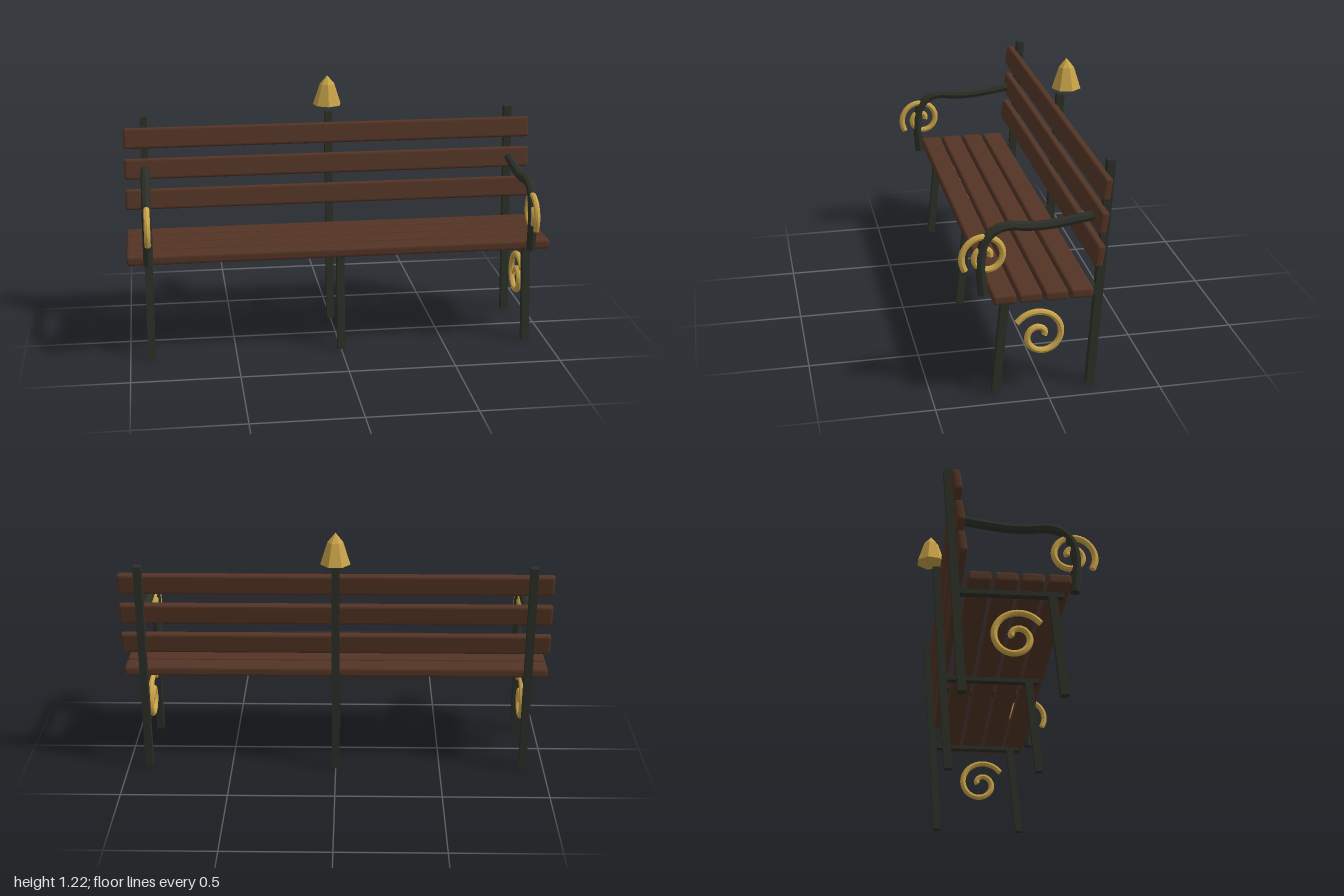
import * as THREE from 'three';
import { RoundedBoxGeometry } from 'three/addons/geometries/RoundedBoxGeometry.js';

const wood = new THREE.MeshStandardMaterial({ color: 0x533425, flatShading: true });
wood.name = 'brownWood';
const iron = new THREE.MeshStandardMaterial({ color: 0x2c2f27, flatShading: true });
iron.name = 'darkIron';
const gold = new THREE.MeshStandardMaterial({ color: 0xc9a348, flatShading: true });
gold.name = 'brass';

function add(parent, geometry, material, name) {
  const mesh = new THREE.Mesh(geometry, material);
  mesh.name = name;
  parent.add(mesh);
  return mesh;
}

// Square iron bar between two [z, y] points in the plane of a frame
function bar(parent, name, [z0, y0], [z1, y1], size = 0.036) {
  const length = Math.hypot(z1 - z0, y1 - y0);
  const mesh = add(parent, new THREE.BoxGeometry(size, length, size), iron, name);
  mesh.position.set(0, (y0 + y1) / 2, (z0 + z1) / 2);
  mesh.rotation.x = Math.atan2(z1 - z0, y1 - y0);
}

// Bent rod through [z, y] points, closed at both ends
function rod(parent, name, points, radius, material, segments) {
  const group = new THREE.Group();
  group.name = name;
  parent.add(group);
  const curve = new THREE.CatmullRomCurve3(points.map(([z, y]) => new THREE.Vector3(0, y, z)));
  add(group, new THREE.TubeGeometry(curve, segments, radius, 8), material, name + 'Rod');
  for (const t of [0, 1]) {
    const cap = add(group, new THREE.CircleGeometry(radius, 8), material, name + 'End');
    cap.position.copy(curve.getPoint(t));
    const out = curve.getTangent(t).multiplyScalar(t ? 1 : -1);
    cap.quaternion.setFromUnitVectors(new THREE.Vector3(0, 0, 1), out);
  }
}

// Spiral scroll winding inwards; angles in degrees, measured from the back
function scroll(parent, name, z, y, startAngle, outer, inner) {
  const points = [];
  const steps = 32;
  for (let i = 0; i <= steps; i++) {
    const t = i / steps;
    const a = THREE.MathUtils.degToRad(startAngle + (-360 - startAngle) * t);
    const r = outer + (inner - outer) * t;
    points.push([z - r * Math.cos(a), y + r * Math.sin(a)]);
  }
  rod(parent, name, points, 0.0145, gold, 56);
}

function slat(parent, name, height, depth, y, z, tilt = 0) {
  const mesh = add(parent, new RoundedBoxGeometry(2, height, depth, 2, 0.012), wood, name);
  mesh.position.set(0, y, z);
  mesh.rotation.x = tilt;
}

export function createModel() {
  const bench = new THREE.Group();
  bench.name = 'bench';

  // Three iron frames
  for (const [x, name] of [[0.9, 'leftFrame'], [0, 'middleFrame'], [-0.9, 'rightFrame']]) {
    const frame = new THREE.Group();
    frame.name = name;
    frame.position.x = x;
    bench.add(frame);
    bar(frame, 'rearPost', [-0.204, 0.002], [-0.276, 1.052]);
    bar(frame, 'frontLeg', [0.22, 0.002], [0.175, 0.465]);
    bar(frame, 'seatRail', [0.222, 0.466], [-0.235, 0.466]);
    if (x === 0) continue;

    // Armrest and brass scrolls on the outer frames
    rod(frame, 'armrest', [
      [0.272, 0.48], [0.278, 0.56], [0.282, 0.64], [0.262, 0.725], [0.217, 0.773],
      [0.16, 0.787], [0.086, 0.78], [0.005, 0.778], [-0.092, 0.788], [-0.203, 0.805],
    ], 0.0225, iron, 36);
    scroll(frame, 'armScroll', 0.261, 0.656, 214, 0.107, 0.02);
    scroll(frame, 'legScroll', 0.021, 0.261, 147, 0.123, 0.019);
  }

  // Seat and back slats
  for (let i = 0; i < 4; i++) slat(bench, 'seatSlat', 0.045, 0.1, 0.491, 0.196 - i * 0.112);
  for (let i = 0; i < 3; i++) {
    slat(bench, 'backSlat', 0.1, 0.036, 0.654 + i * 0.15, -0.214 - i * 0.012, -0.15);
  }

  // Faceted finial above the middle post
  const profile = [[0, 1.08], [0.07, 1.08], [0.037, 1.182], [0, 1.225]]
    .map(([r, y]) => new THREE.Vector2(r, y));
  add(bench, new THREE.LatheGeometry(profile, 7), gold, 'finial').position.z = -0.304;

  return bench;
}
